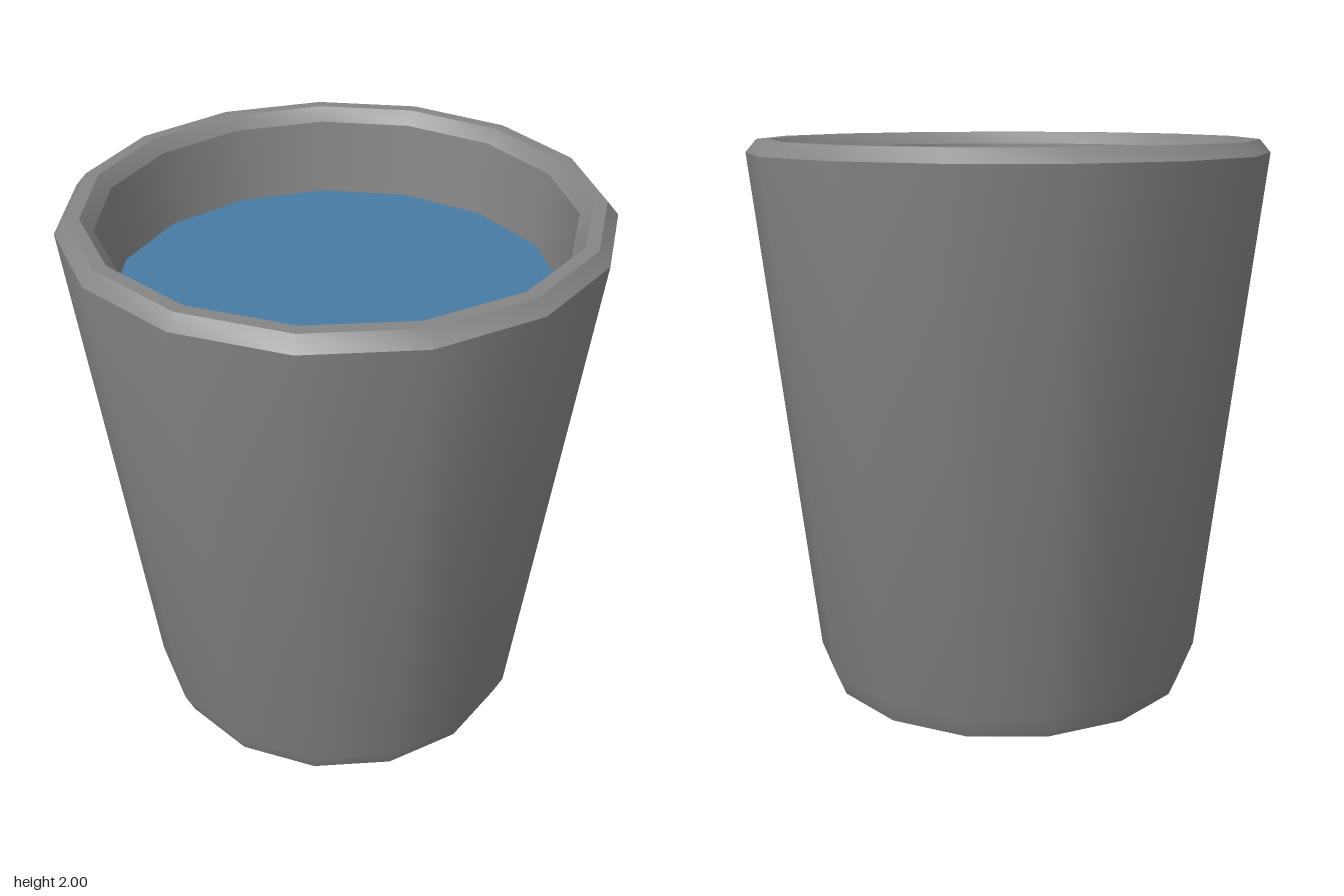
import * as THREE from 'three';
import { toCreasedNormals } from 'three/addons/utils/BufferGeometryUtils.js';

const SIDES = 15;
const WATER_Y = 1.69;

export function createModel() {
  const bucketGrey = new THREE.MeshStandardMaterial({ color: 0x868686 });
  bucketGrey.name = 'bucketGrey';
  const waterBlue = new THREE.MeshStandardMaterial({ color: 0x497ba4 });
  waterBlue.name = 'waterBlue';

  // Closed wall profile: underside, outer wall, bevelled rim, inner wall, floor
  const profile = [
    [0, 0], [0.605, 0], [0.675, 0.035], [0.71, 0.12],
    [0.914, 1.955], [0.875, 2], [0.83, 2], [0.79, 1.955],
    [0.6, 0.16], [0, 0.16],
  ].map(([r, y]) => new THREE.Vector2(r, y));

  const cup = new THREE.Mesh(
    toCreasedNormals(new THREE.LatheGeometry(profile, SIDES, Math.PI), Math.PI / 6),
    bucketGrey
  );
  cup.name = 'bucket';

  // Flat water surface inside the rim
  const surface = new THREE.CircleGeometry(0.762, SIDES, Math.PI / 2);
  surface.rotateX(-Math.PI / 2);
  const water = new THREE.Mesh(surface, waterBlue);
  water.name = 'water';
  water.position.y = WATER_Y;

  // The odd number of sides needs a small shift to centre the bounds in z
  const body = new THREE.Group();
  body.name = 'bucketWithWater';
  body.add(cup, water);
  body.position.z = 0.01;

  const model = new THREE.Group();
  model.name = 'waterBucket';
  model.add(body);
  return model;
}
